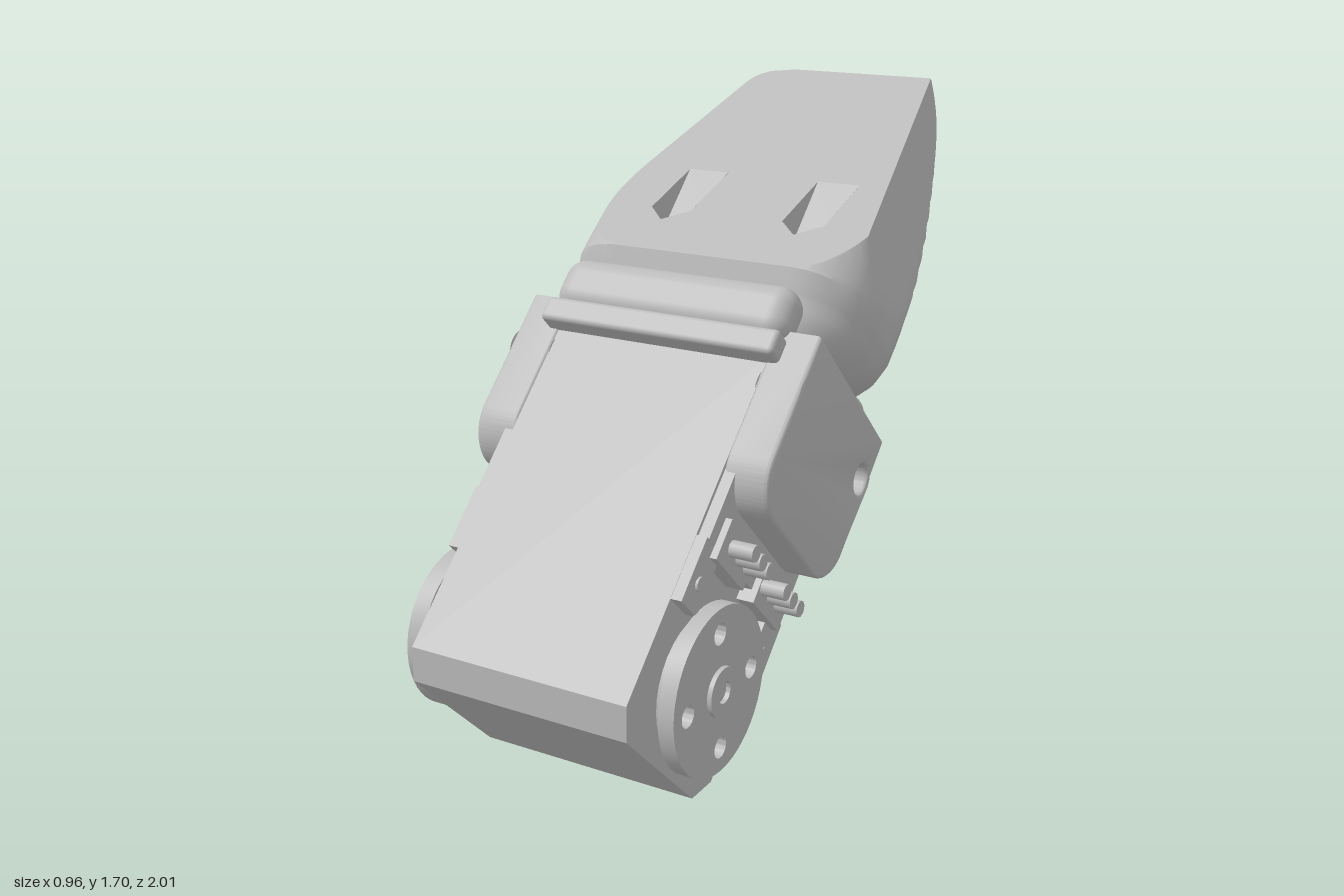
import * as THREE from 'three';
import { toCreasedNormals } from 'three/addons/utils/BufferGeometryUtils.js';
import { RoundedBoxGeometry } from 'three/addons/geometries/RoundedBoxGeometry.js';

// Local frame: x = sideways, y = along the finger (u), z = its upper face (v).
const grey = new THREE.MeshStandardMaterial({ color: 0xbcbcbc, side: THREE.DoubleSide });
grey.name = 'servo grey';

function add(parent, name, geometry) {
  const mesh = new THREE.Mesh(geometry, grey);
  mesh.name = name;
  parent.add(mesh);
  return mesh;
}

function circle(v, u, r, Type = THREE.Path) {
  const path = new Type();
  path.absarc(-v, u, r, 0, Math.PI * 2);
  return path;
}

// Extrudes a side profile (-v, u) from x0 to x1
function slab(shape, x0, x1, bevel = 0) {
  const g = new THREE.ExtrudeGeometry(shape, {
    depth: x1 - x0 - 2 * bevel, bevelEnabled: bevel > 0, bevelSize: bevel, bevelThickness: bevel,
    bevelOffset: -bevel, bevelSegments: 3, curveSegments: 24,
  });
  g.translate(0, 0, x0 + bevel).rotateY(Math.PI / 2);
  return toCreasedNormals(g, 0.6);
}

function rod(x0, x1, r, u, v, sides = 32) {
  return new THREE.CylinderGeometry(r, r, x1 - x0, sides).rotateZ(Math.PI / 2).translate((x0 + x1) / 2, u, v);
}

function box(x0, x1, u0, u1, v0, v1) {
  return new THREE.BoxGeometry(x1 - x0, u1 - u0, v1 - v0)
    .translate((x0 + x1) / 2, (u0 + u1) / 2, (v0 + v1) / 2);
}

function triangles(list) {
  const g = new THREE.BufferGeometry();
  g.setAttribute('position', new THREE.Float32BufferAttribute(list.flat(), 3));
  return toCreasedNormals(g, 0.45);
}

// Linear interpolation through [u, value] pairs
function track(pairs, u) {
  if (u <= pairs[0][0]) return pairs[0][1];
  for (let i = 1; i < pairs.length; i++) {
    const [a, p] = pairs[i - 1], [b, q] = pairs[i];
    if (u <= b) return p + (q - p) * (u - a) / (b - a);
  }
  return pairs[pairs.length - 1][1];
}

// Finger rules: sloping upper plane, slanted side cut, rounded body
const START = 1.114, TIP = 2.16, SLOT = [1.04, 1.5], HALF_SLOT = 0.06;
const planeV = u => 0.279 - 0.4732 * (u - START);
const cutX = (u, v) => 0.815 - 0.287 * u - 0.075 * v;
const halfWidth = u => track([[0.88, 0.35], [0.93, 0.38], [0.97, 0.43], [1.02, 0.465], [1.08, 0.482], [1.16, 0.48], [TIP, 0.395]], u);
const topV = u => track([[0.88, 0.2], [1.04, 0.235], [START, 0.279]], u);
const backV = u => track([[0.88, -0.22], [1.03, -0.25], [1.95, -0.293]], u)
  + 0.077 * Math.max(0, (u - 1.95) / 0.21) ** 3;

function fingerSection(u) {
  const w = halfWidth(u), T = topV(u), B = backV(u), vt = planeV(u);
  const rt = 0.2, rb = track([[1.1, 0.2], [1.95, 0.12]], u);
  const half = [[0, T]];
  for (let k = 0; k <= 10; k++) {
    const a = k / 10 * Math.PI / 2;
    half.push([w - rt + rt * Math.sin(a), T - rt + rt * Math.cos(a)]);
  }
  for (let k = 1; k <= 3; k++) half.push([w, T - rt + (B + rb - T + rt) * k / 4]);
  for (let k = 0; k <= 10; k++) {
    const a = k / 10 * Math.PI / 2;
    half.push([w - rb + rb * Math.cos(a), B + rb - rb * Math.sin(a)]);
  }
  half.push([HALF_SLOT, B]);
  // Where the upper plane meets the rounded sides
  let inset = 0;
  if (T - vt < rt) inset = rt - Math.sqrt(Math.max(0, rt * rt - (rt - T + vt) ** 2));
  else if (vt - B < rb) inset = rb - Math.sqrt(Math.max(0, rb * rb - (rb - vt + B) ** 2));
  const left = -(w - inset), right = Math.min(w - inset, cutX(u, vt));
  const outline = [...half.map(([x, v]) => [-x, v]), ...half.slice().reverse()];
  const points = outline.map(([x, v], j) => v > vt + 1e-6
    ? [j < half.length ? left : right, u, vt]
    : [Math.min(x, cutX(u, v)), u, v]);
  return { u, points, left, right, slotIndex: half.length - 1 };
}

function buildFinger(root) {
  const finger = new THREE.Group();
  finger.name = 'finger';
  root.add(finger);
  const stations = [0.88, 0.93, 0.95, 0.97, 0.995, 1.02, 1.04, 1.06, 1.08, START, 1.13, 1.15];
  for (let k = 1; k <= 10; k++) stations.push(1.15 + 0.035 * k);
  for (let k = 1; k <= 33; k++) stations.push(1.5 + 0.02 * k);
  const rows = stations.map(fingerSection);

  // Rounded shell, open over the upper plane and the rear slot
  const tris = [];
  for (let i = 0; i + 1 < rows.length; i++) {
    const p = rows[i].points, q = rows[i + 1].points;
    const inSlot = rows[i].u > SLOT[0] - 1e-4 && rows[i + 1].u < SLOT[1] + 1e-4;
    for (let j = 0; j + 1 < p.length; j++) {
      if (inSlot && j === rows[i].slotIndex) continue;
      tris.push(...p[j], ...q[j], ...q[j + 1], ...p[j], ...q[j + 1], ...p[j + 1]);
    }
  }
  add(finger, 'fingerShell', triangles(tris));

  // Flat upper face with two pointed pockets
  const flat = rows.filter(r => r.u >= START);
  const face = new THREE.Shape([
    ...flat.map(r => new THREE.Vector2(r.right, r.u)),
    ...flat.slice().reverse().map(r => new THREE.Vector2(r.left, r.u)),
  ]);
  const pockets = [-0.222, 0.215].map(x => [
    [x - 0.067, 1.527], [x - 0.067, 1.315], [x, 1.258], [x + 0.067, 1.315], [x + 0.067, 1.527]]);
  for (const p of pockets) face.holes.push(new THREE.Path(p.map(([x, u]) => new THREE.Vector2(x, u))));
  const top = new THREE.ShapeGeometry(face), pos = top.attributes.position;
  for (let i = 0; i < pos.count; i++) pos.setZ(i, planeV(pos.getY(i)));
  top.computeVertexNormals();
  add(finger, 'fingerFace', top);

  // Pocket walls and floors
  function pocket(name, outline, rim, floor) {
    const list = [], n = outline.length;
    const at = (k, f) => [...outline[k % n], f(outline[k % n][1])];
    for (let k = 0; k < n; k++) {
      list.push(...at(k, rim), ...at(k, floor), ...at(k + 1, floor), ...at(k, rim), ...at(k + 1, floor), ...at(k + 1, rim));
      if (k > 0 && k < n - 1) list.push(...at(0, floor), ...at(k, floor), ...at(k + 1, floor));
    }
    add(finger, name, triangles(list));
  }
  for (const p of pockets) pocket('screwPocket', p, planeV, () => 0.084);
  const [a, b] = SLOT, s = HALF_SLOT;
  pocket('rearSlot', [[-s, a], [s, a], [s, b], [-s, b]], backV, () => -0.16);
}

export function createModel() {
  const model = new THREE.Group();
  model.name = 'gripperFinger';
  const root = new THREE.Group();
  root.name = 'tiltedAssembly';
  root.rotation.x = -Math.PI / 4;
  root.position.set(0, 0.325, 0.68);
  model.add(root);

  // Servo case with chamfered end
  const caseShape = new THREE.Shape([
    [-0.218, -0.242], [0.218, -0.242], [0.286, -0.172], [0.286, 0.83], [-0.286, 0.83], [-0.286, -0.172],
  ].map(([x, y]) => new THREE.Vector2(x, y)));
  add(root, 'servoCase', slab(caseShape, -0.333, 0.333));
  add(root, 'upperCase', box(-0.366, 0.366, 0.3, 0.83, -0.275, 0.275));

  // Mounting flange and rounded clamp bars
  add(root, 'flange', new RoundedBoxGeometry(0.74, 0.075, 0.695, 3, 0.015).translate(0, 0.848, 0));
  for (const s of [-1, 1]) {
    add(root, 'clampBar', new RoundedBoxGeometry(0.74, 0.17, 0.13, 5, 0.06).translate(0, 0.95, s * 0.284));
  }

  // Side brackets with countersunk screw holes
  const r = 0.13, e = 0.29, u0 = 0.42, u1 = 0.91;
  const bracket = new THREE.Shape();
  bracket.moveTo(-e, u1).lineTo(-e, u0 + r);
  bracket.absarc(-e + r, u0 + r, r, Math.PI, Math.PI * 1.5);
  bracket.absarc(e - r, u0 + r, r, Math.PI * 1.5, Math.PI * 2);
  bracket.lineTo(e, u1);
  for (const v of [-0.237, 0.237]) bracket.holes.push(circle(v, 0.757, 0.043));
  for (const s of [-1, 1]) {
    add(root, 'sideBracket', slab(bracket, s > 0 ? 0.33 : -0.463, s > 0 ? 0.463 : -0.33, 0.012));
    for (const v of [-0.237, 0.237]) {
      const ring = circle(v, 0.757, 0.05, THREE.Shape);
      ring.holes.push(circle(v, 0.757, 0.022));
      add(root, 'holeSeat', slab(ring, s > 0 ? 0.34 : -0.42, s > 0 ? 0.42 : -0.34));
    }
  }

  // Horn discs, hubs and corner lugs on both sides
  const disc = circle(0, 0, 0.23, THREE.Shape);
  for (let k = 0; k < 4; k++) {
    const a = Math.PI / 4 + k * Math.PI / 2;
    disc.holes.push(circle(0.161 * Math.cos(a), 0.161 * Math.sin(a), 0.03));
  }
  for (const s of [-1, 1]) {
    const span = (a, b) => (s > 0 ? [a, b] : [-b, -a]);
    add(root, 'hornHub', rod(...span(0.32, 0.37), 0.19, 0, 0));
    add(root, 'hornDisc', slab(disc, ...(s > 0 ? [0.363, 0.409] : [-0.432, -0.38])));
    for (const v of [-0.235, 0.235]) {
      add(root, 'cornerLug', box(...span(0.33, 0.365), 0.12, 0.3, v - 0.05, v + 0.05));
      add(root, 'lugScrew', rod(...span(0.33, 0.372), 0.02, 0.19, v, 20));
    }
  }
  const boss = circle(0, 0, 0.068, THREE.Shape);
  boss.holes.push(circle(0, 0, 0.03));
  add(root, 'rightBoss', slab(boss, 0.4, 0.422));
  add(root, 'screwHead', slab(circle(0, 0, 0.065, THREE.Shape), -0.47, -0.42, 0.012));
  add(root, 'rearPlate', box(-0.415, -0.33, 0.27, 0.4, -0.2, 0.2));

  // Cable sockets with three pins each
  for (const s of [-1, 1]) {
    const v = [0.04, 0.235].map(d => s * d).sort((p, q) => p - q);
    add(root, 'cableSocket', box(0.33, 0.385, 0.265, 0.38, v[0], v[1]));
    for (const d of [0.067, 0.122, 0.177]) add(root, 'cablePin', rod(0.36, 0.455, 0.023, 0.323, s * d, 16));
  }

  buildFinger(root);
  return model;
}
